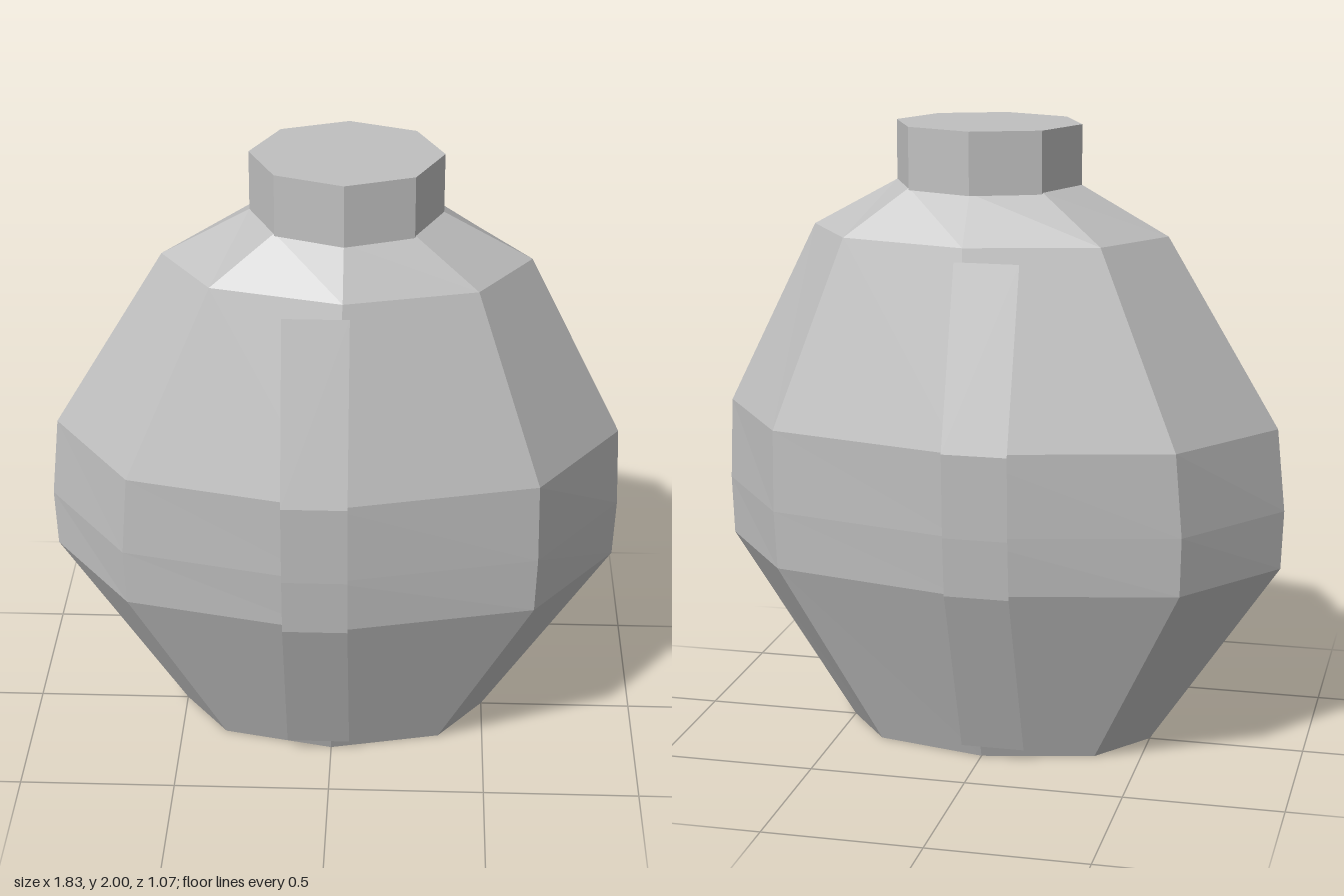
import * as THREE from 'three';

const SIDES = 8;

// Stack of eight-sided oval rings [y, centreX, radiusX, radiusZ], capped at both ends
function ringSolid(rings) {
  const point = ([y, cx, rx, rz], i) => {
    const a = (i / SIDES) * Math.PI * 2;
    return [cx + Math.cos(a) * rx, y, Math.sin(a) * rz];
  };
  const pos = [];
  const tri = (a, b, c) => pos.push(...a, ...b, ...c);
  const first = rings[0], last = rings[rings.length - 1];
  for (let i = 0; i < SIDES; i++) {
    for (let r = 0; r < rings.length - 1; r++) {
      const a = point(rings[r], i), b = point(rings[r], i + 1);
      const c = point(rings[r + 1], i + 1), d = point(rings[r + 1], i);
      tri(a, d, c);
      tri(a, c, b);
    }
    tri([first[1], first[0], 0], point(first, i), point(first, i + 1));
    tri([last[1], last[0], 0], point(last, i + 1), point(last, i));
  }
  return toGeometry(pos);
}

// Flat band of constant width following a [y, z] profile; side is 1 (front) or -1 (back)
function band(x0, x1, profile, side) {
  const pos = [];
  const [l, r] = side > 0 ? [x0, x1] : [x1, x0];
  for (let i = 0; i < profile.length - 1; i++) {
    const [ya, za] = profile[i], [yb, zb] = profile[i + 1];
    const a = [l, ya, za * side], b = [r, ya, za * side];
    const c = [r, yb, zb * side], d = [l, yb, zb * side];
    pos.push(...a, ...b, ...c, ...a, ...c, ...d);
  }
  return toGeometry(pos);
}

function toGeometry(pos) {
  const g = new THREE.BufferGeometry();
  g.setAttribute('position', new THREE.Float32BufferAttribute(pos, 3));
  g.computeVertexNormals();
  return g;
}

export function createModel() {
  const group = new THREE.Group();
  group.name = 'flask';
  const grey = new THREE.MeshStandardMaterial({ color: 0xc0c0c0, flatShading: true, side: THREE.DoubleSide });
  grey.name = 'grey';

  const add = (name, geometry) => {
    const mesh = new THREE.Mesh(geometry, grey);
    mesh.name = name;
    group.add(mesh);
  };

  // Faceted oval body, leaning slightly towards the neck
  add('body', ringSolid([
    [0, 0, 0.5, 0.272],
    [0.61, 0, 0.91, 0.505],
    [0.8, 0, 0.917, 0.522],
    [1.065, 0.008, 0.898, 0.53],
    [1.66, 0.038, 0.572, 0.35],
    [1.812, 0.038, 0.297, 0.255],
  ]));

  // Neck
  add('neck', ringSolid([
    [1.805, 0.038, 0.297, 0.263],
    [2, 0.038, 0.297, 0.263],
  ]));

  // Straps down the front and back
  const profile = [[0.04, 0.294], [0.61, 0.511], [0.8, 0.528], [1.065, 0.537], [1.62, 0.37]];
  add('frontStrap', band(-0.143, 0.06, profile, 1));
  add('backStrap', band(-0.143, 0.06, profile, -1));

  return group;
}
